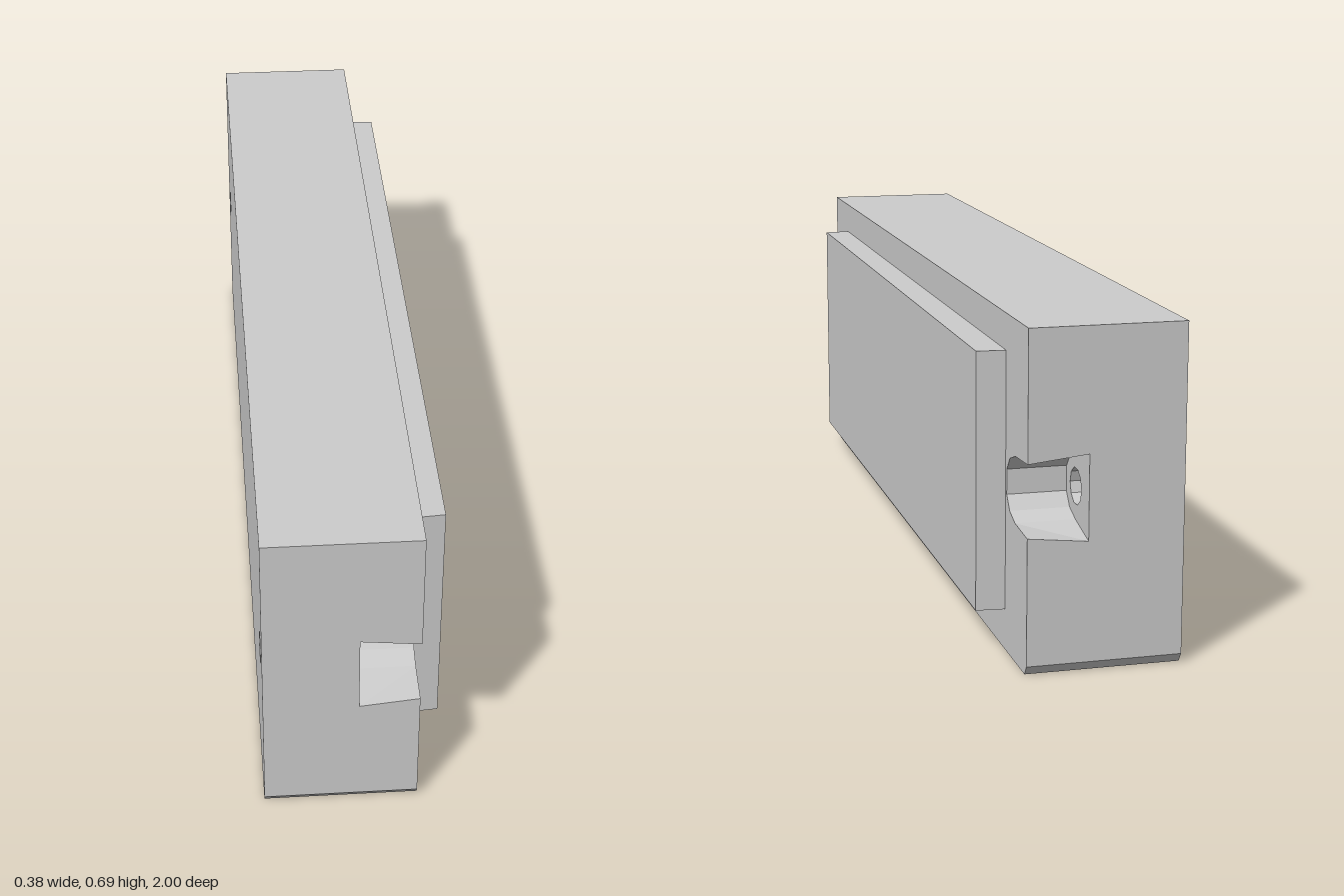
import * as THREE from 'three';

const V = (x, y, z) => new THREE.Vector3(x, y, z);
const BACK = -0.19, FRONT = 0.13, FLOOR = 0.006; // x levels of the casing
const TOP = 0.695, MID = 0.355, CH = 0.02;       // heights and bottom chamfer

// Collects flat triangles, each turned to face a given direction
class Surface {
  constructor() { this.pos = []; }
  tri(a, b, c, dir) {
    const n = b.clone().sub(a).cross(c.clone().sub(a));
    const order = n.dot(dir) < 0 ? [a, c, b] : [a, b, c];
    for (const p of order) this.pos.push(p.x, p.y, p.z);
  }
  // Planar face with optional holes, projected by dropping one axis
  face(outer, dir, drop, holes = []) {
    const [u, v] = ['x', 'y', 'z'].filter((k) => k !== drop);
    const flat = (loop) => loop.map((p) => new THREE.Vector2(p[u], p[v]));
    const all = [...outer, ...holes.flat()];
    for (const [a, b, c] of THREE.ShapeUtils.triangulateShape(flat(outer), holes.map(flat))) {
      this.tri(all[a], all[b], all[c], dir);
    }
  }
  // Inner walls of a recess between two matching loops, facing its centre
  walls(l1, l2, closed = true) {
    const centre = V(0, 0, 0);
    [...l1, ...l2].forEach((p) => centre.add(p));
    centre.divideScalar(l1.length * 2);
    const count = closed ? l1.length : l1.length - 1;
    for (let i = 0; i < count; i++) {
      const j = (i + 1) % l1.length;
      const dir = centre.clone().sub(l1[i]);
      this.tri(l1[i], l1[j], l2[j], dir);
      this.tri(l1[i], l2[j], l2[i], dir);
    }
  }
  mesh(name) {
    const g = new THREE.BufferGeometry();
    g.setAttribute('position', new THREE.Float32BufferAttribute(this.pos, 3));
    g.computeVertexNormals();
    const m = new THREE.Mesh(g, new THREE.MeshStandardMaterial({ color: 0xcccccc, flatShading: true }));
    m.name = name;
    return m;
  }
}

// Open outline of a screw recess; the mouth is taller at the floor
function slotLoop(x, s, mouth) {
  const half = [[1, mouth], [0.91, 0.068], [0.87, 0.054], [0.847, 0.026]];
  const upper = half.map(([z, h]) => V(x, MID + h, s * z));
  const lower = half.map(([z, h]) => V(x, MID - h, s * z)).reverse();
  return [...upper, ...lower];
}

function screwLoop(x, s) {
  return Array.from({ length: 10 }, (_, i) => {
    const a = (i / 10) * Math.PI * 2;
    return V(x, MID + 0.038 * Math.sin(a), s * 0.91 + 0.038 * Math.cos(a));
  });
}

function casing() {
  const body = new Surface();
  const rect = (y) => [V(-0.035, y, 0.19), V(0.03, y, 0.19), V(0.03, y, 0.42), V(-0.035, y, 0.42)];

  // Large front and back faces
  const b = 1 - CH * 0.7;
  const rightSlot = slotLoop(FRONT, 1, 0.074), leftSlot = slotLoop(FRONT, -1, 0.074);
  body.face([
    V(FRONT, TOP, 1), ...rightSlot, V(FRONT, CH, 1), V(FRONT, 0, b),
    V(FRONT, 0, -b), V(FRONT, CH, -1), ...leftSlot.slice().reverse(), V(FRONT, TOP, -1),
  ], V(1, 0, 0), 'x');
  body.face([
    V(BACK, TOP, 1), V(BACK, CH, 1), V(BACK, 0, b),
    V(BACK, 0, -b), V(BACK, CH, -1), V(BACK, TOP, -1),
  ], V(-1, 0, 0), 'x', [screwLoop(BACK, 1), screwLoop(BACK, -1)]);

  // Top, and underside with its rectangular socket
  body.face([V(BACK, TOP, -1), V(FRONT, TOP, -1), V(FRONT, TOP, 1), V(BACK, TOP, 1)], V(0, 1, 0), 'y');
  body.face([V(BACK, 0, -b), V(FRONT, 0, -b), V(FRONT, 0, b), V(BACK, 0, b)], V(0, -1, 0), 'y', [rect(0)]);
  body.walls(rect(0), rect(0.15));
  body.face(rect(0.15), V(0, -1, 0), 'y');

  // Ends, bottom chamfers, screw recesses and screw holes
  for (const s of [1, -1]) {
    const outer = slotLoop(FRONT, s, 0.074), inner = slotLoop(FLOOR, s, 0.0875);
    const last = outer.length - 1;
    body.face([
      V(BACK, CH, s), V(FRONT, CH, s), outer[last], inner[last],
      inner[0], outer[0], V(FRONT, TOP, s), V(BACK, TOP, s),
    ], V(0, 0, s), 'z');
    body.face([V(BACK, CH, s), V(FRONT, CH, s), V(FRONT, 0, s * b), V(BACK, 0, s * b)], V(0, -1, s), 'z');
    body.walls(outer, inner, false);
    body.face(inner, V(1, 0, 0), 'x', [screwLoop(FLOOR, s)]);
    body.walls(screwLoop(FLOOR, s), screwLoop(BACK, s));
  }
  return body.mesh('casing');
}

// Raised panel, very slightly narrower at its outer face
function panel() {
  const g = new THREE.BoxGeometry(0.06, 0.535, 1.676);
  const p = g.attributes.position;
  for (let i = 0; i < p.count; i++) if (p.getX(i) > 0) p.setZ(i, p.getZ(i) * 0.994);
  g.computeVertexNormals();
  const m = new THREE.Mesh(g, new THREE.MeshStandardMaterial({ color: 0xcccccc, flatShading: true }));
  m.position.set(0.16, 0.353, 0);
  m.name = 'raisedPanel';
  return m;
}

export function createModel() {
  const model = new THREE.Group();
  model.name = 'mountingModule';
  model.add(casing(), panel());
  return model;
}
